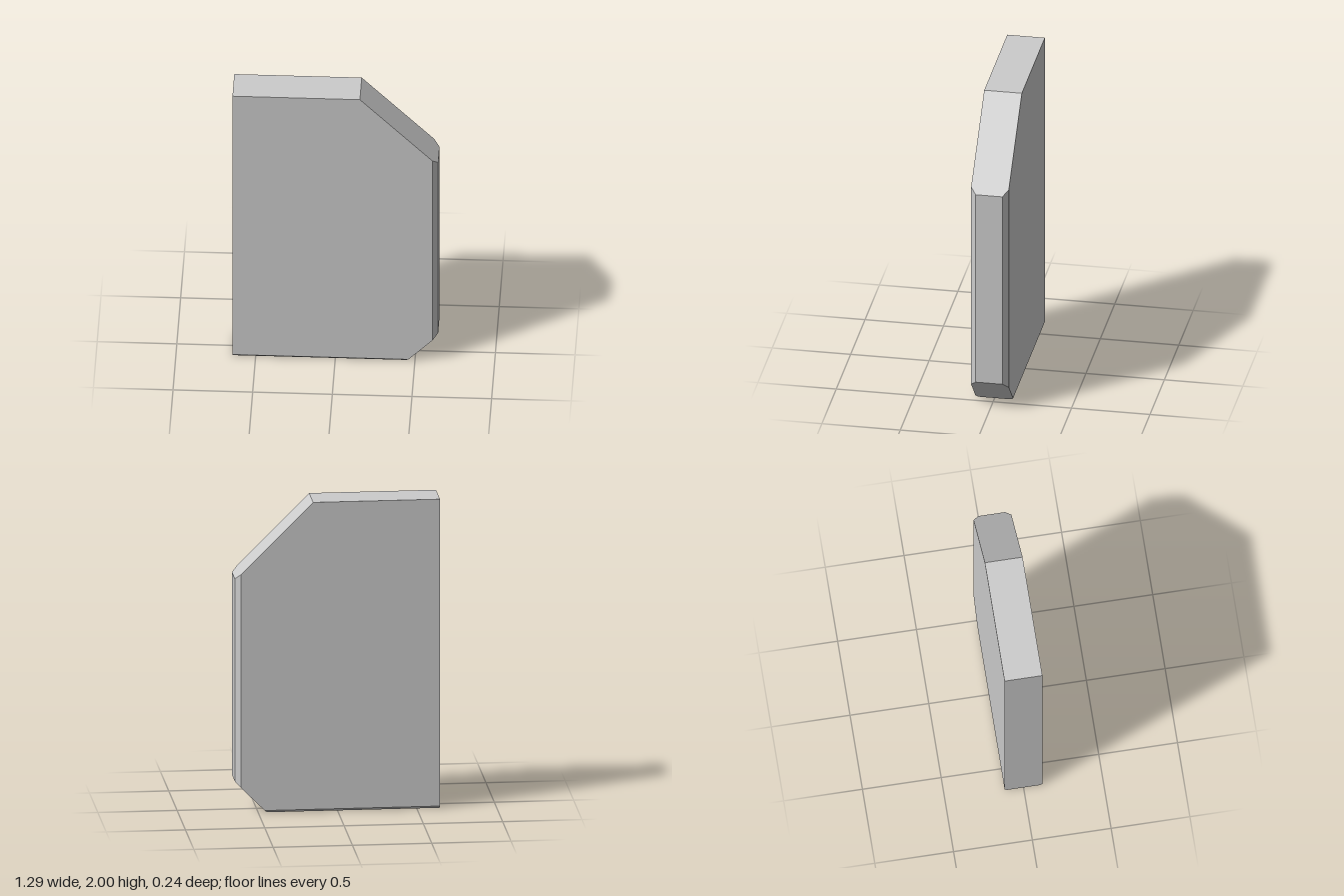
import * as THREE from 'three';
import { ConvexGeometry } from 'three/addons/geometries/ConvexGeometry.js';

export function createModel() {
  const group = new THREE.Group();
  const left = -0.645, right = 0.645, top = 2, half = 0.12;
  const sideBevel = 0.035, baseBevel = 0.015;
  const upperCut = 0.49, lowerCut = 0.2;

  // Corners [x, y, half thickness]; both cut corners run at 45 degrees
  const corners = [
    // full-thickness face outline
    [left, top, half],
    [right - upperCut, top, half],
    [right - sideBevel, top - upperCut + sideBevel, half],
    [right - sideBevel, lowerCut - sideBevel, half],
    [right - lowerCut + baseBevel, baseBevel, half],
    [left, baseBevel, half],
    // narrowed right edge
    [right, top - upperCut, half - sideBevel],
    [right, lowerCut, half - sideBevel],
    // narrowed bottom edge
    [right - lowerCut, 0, half - baseBevel],
    [left, 0, half - baseBevel],
  ];

  // Mirror the corners front to back
  const points = corners.flatMap(([x, y, z]) => [
    new THREE.Vector3(x, y, z),
    new THREE.Vector3(x, y, -z),
  ]);

  const panel = new THREE.Mesh(
    new ConvexGeometry(points),
    new THREE.MeshStandardMaterial({ color: 0xcccccc, flatShading: true })
  );
  panel.name = 'bevelledPanel';
  group.add(panel);
  return group;
}
